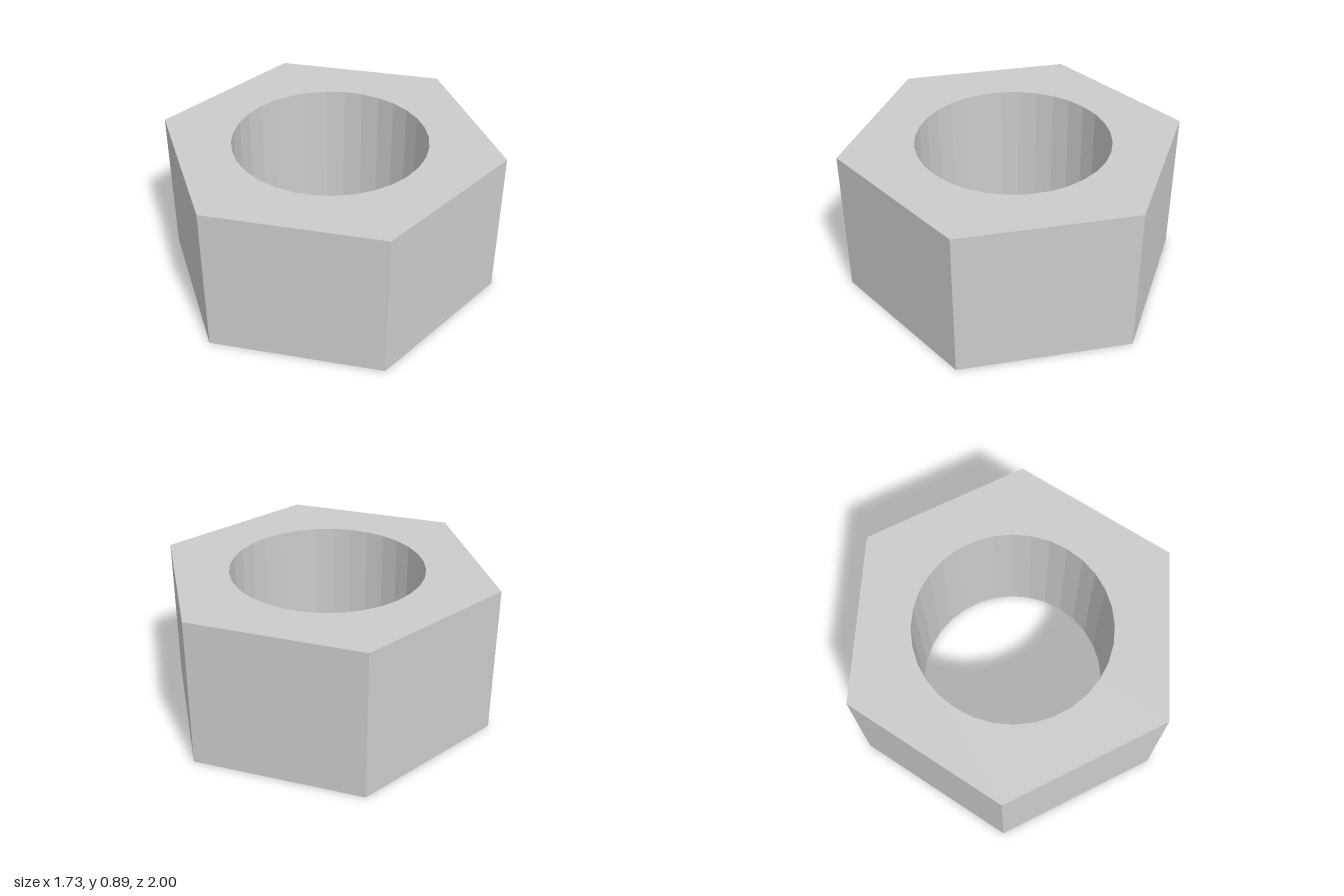
import * as THREE from 'three';

const HEIGHT = 0.886;
const OUTER_RADIUS = 1;
const BORE_RADIUS = 0.565;

// Counter-clockwise corners of a regular polygon, the first one on the +y axis
function polygon(radius, sides) {
  return Array.from({ length: sides }, (_, i) => {
    const a = (i / sides) * Math.PI * 2;
    return new THREE.Vector2(-Math.sin(a) * radius, Math.cos(a) * radius);
  });
}

export function createModel() {
  const group = new THREE.Group();
  group.name = 'hexNut';

  // Hexagonal outline with a 32-sided through hole
  const outline = new THREE.Shape(polygon(OUTER_RADIUS, 6));
  outline.holes.push(new THREE.Path(polygon(BORE_RADIUS, 32)));

  // Extrude the outline and lay it flat on the ground
  const geometry = new THREE.ExtrudeGeometry(outline, { depth: HEIGHT, bevelEnabled: false });
  geometry.rotateX(-Math.PI / 2);

  const body = new THREE.Mesh(
    geometry,
    new THREE.MeshStandardMaterial({ color: 0xcccccc, flatShading: true })
  );
  body.name = 'nutBody';
  group.add(body);
  return group;
}
